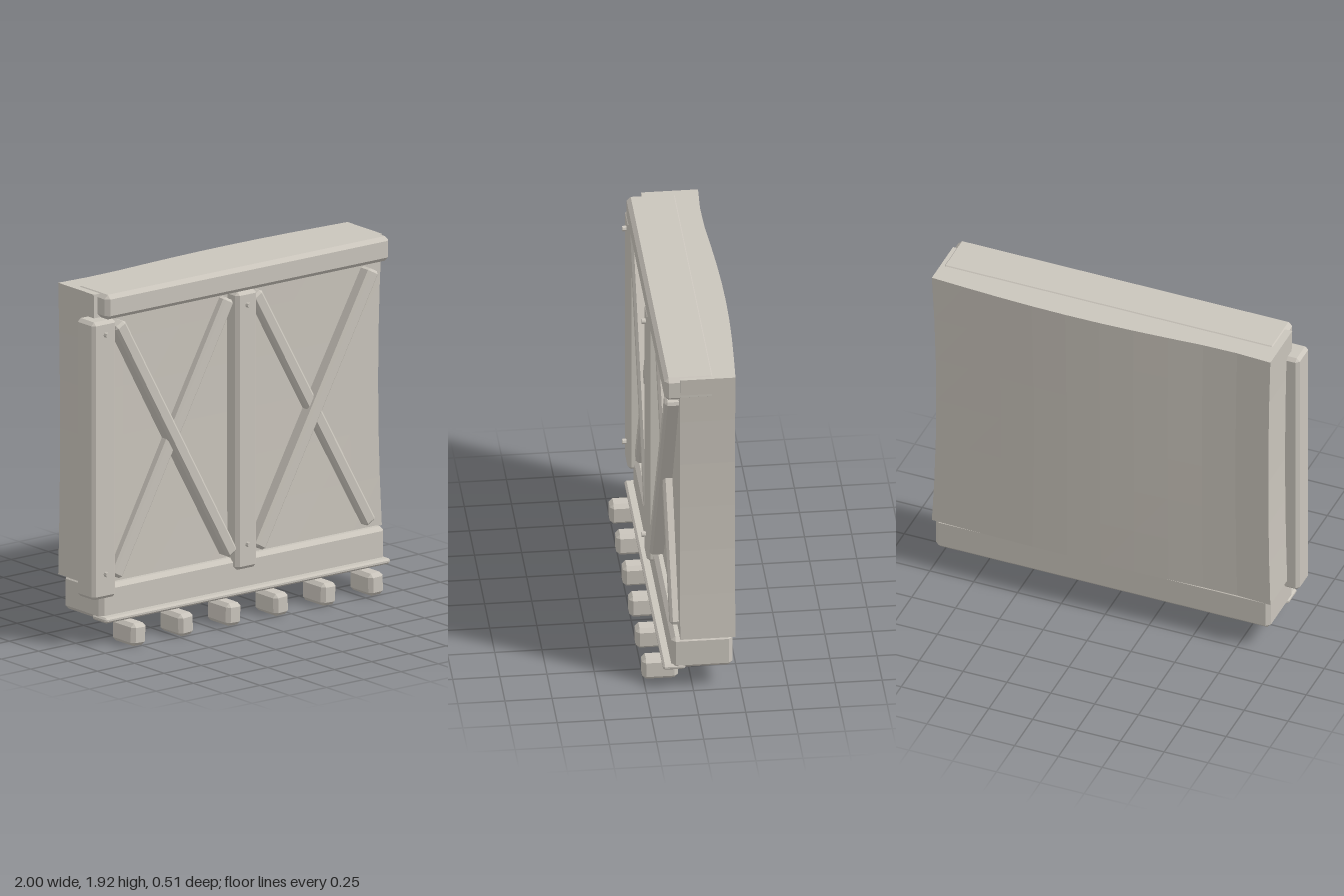
import * as THREE from 'three';
import { ConvexGeometry } from 'three/addons/geometries/ConvexGeometry.js';

const stone = new THREE.MeshStandardMaterial({ color: 0xcac5bc, flatShading: true });
stone.name = 'pale grey timber';

// Box with flat chamfers, centred on the origin
function chamferBox(w, h, d, c) {
  const half = [w / 2, h / 2, d / 2];
  const points = [];
  for (const sx of [-1, 1]) for (const sy of [-1, 1]) for (const sz of [-1, 1]) {
    for (let axis = 0; axis < 3; axis++) {
      const p = half.map((v, i) => (i === axis ? v : v - c));
      points.push(new THREE.Vector3(p[0] * sx, p[1] * sy, p[2] * sz));
    }
  }
  return new ConvexGeometry(points);
}

function add(parent, name, geometry, x = 0, y = 0, z = 0) {
  const mesh = new THREE.Mesh(geometry, stone);
  mesh.name = name;
  mesh.position.set(x, y, z);
  parent.add(mesh);
  return mesh;
}

// Chamfered beam given by its limits on each axis
function beam(parent, name, [x0, x1], [y0, y1], [z0, z1], c = 0.02) {
  return add(parent, name, chamferBox(x1 - x0, y1 - y0, z1 - z0, c),
    (x0 + x1) / 2, (y0 + y1) / 2, (z0 + z1) / 2);
}

// Diagonal brace between two points on the front
function brace(parent, name, [ax, ay], [bx, by], z0, z1) {
  const length = Math.hypot(bx - ax, by - ay) + 0.04;
  const mesh = add(parent, name, chamferBox(0.075, length, z1 - z0, 0.014),
    (ax + bx) / 2, (ay + by) / 2, (z0 + z1) / 2);
  mesh.rotation.z = Math.atan2(by - ay, bx - ax) - Math.PI / 2;
}

// Wall slab with worn sides and a gently bulging back
function wallGeometry() {
  const g = new THREE.BoxGeometry(1.935, 1.595, 0.3, 10, 6, 1);
  const p = g.attributes.position;
  for (let i = 0; i < p.count; i++) {
    const u = p.getX(i) / 0.9675;
    const v = p.getY(i) / 0.7975;
    const hollow = 1 - v * v;
    const bulge = Math.max(0, Math.cos((u - 0.18) * 1.9));
    const x = 0.0325 + p.getX(i) - (u > 0 ? 0.025 : 0.012) * u * hollow;
    const z = p.getZ(i) > 0
      ? 0.07 - 0.008 * hollow * (1 - u * u)
      : -0.222 - 0.034 * bulge * (0.75 + 0.25 * v) - (u < -0.9 ? 0.01 : 0);
    p.setXYZ(i, x, 1.1175 + p.getY(i), z);
  }
  g.computeVertexNormals();
  return g;
}

export function createModel() {
  const model = new THREE.Group();
  model.name = 'timberFramedWall';

  add(model, 'wallPanel', wallGeometry());

  // Horizontal timbers
  beam(model, 'topBeam', [-0.91, 0.995], [1.785, 1.92], [-0.12, 0.152], 0.022);
  beam(model, 'bottomBeam', [-0.92, 0.99], [0.135, 0.325], [-0.21, 0.115], 0.022);
  beam(model, 'bottomLedge', [-0.925, 0.99], [0.13, 0.16], [0.04, 0.16], 0.01);

  // Upright posts with a bolt near each end
  for (const [name, x0, x1, z0] of [['outerPost', -1, -0.84, 0.0], ['middlePost', -0.035, 0.105, 0.03]]) {
    beam(model, name, [x0, x1], [0.265, 1.785], [z0, 0.15], 0.018);
    const boltX = name === 'outerPost' ? -0.917 : 0.035;
    for (const y of [0.4, 1.71]) {
      const bolt = add(model, 'bolt', new THREE.CylinderGeometry(0.015, 0.015, 0.04, 8), boltX, y, 0.152);
      bolt.rotation.x = Math.PI / 2;
    }
  }

  // Crossed braces, one pair per bay
  const top = 1.73, low = 0.375;
  brace(model, 'leftBayFrontBrace', [-0.8, top], [-0.06, low], 0.04, 0.143);
  brace(model, 'leftBayRearBrace', [-0.06, top], [-0.8, low], 0.03, 0.115);
  brace(model, 'rightBayFrontBrace', [0.89, top], [0.14, low], 0.04, 0.143);
  brace(model, 'rightBayRearBrace', [0.14, top], [0.89, low], 0.03, 0.115);

  // Row of joist ends under the wall, leaning very slightly
  for (let i = 0; i < 6; i++) {
    const joist = add(model, 'joistEnd', chamferBox(0.098, 0.122, 0.19, 0.02), -0.77 + i * 0.319, 0.066, 0.162);
    joist.rotation.z = i % 2 ? 0.04 : -0.04;
  }

  return model;
}
